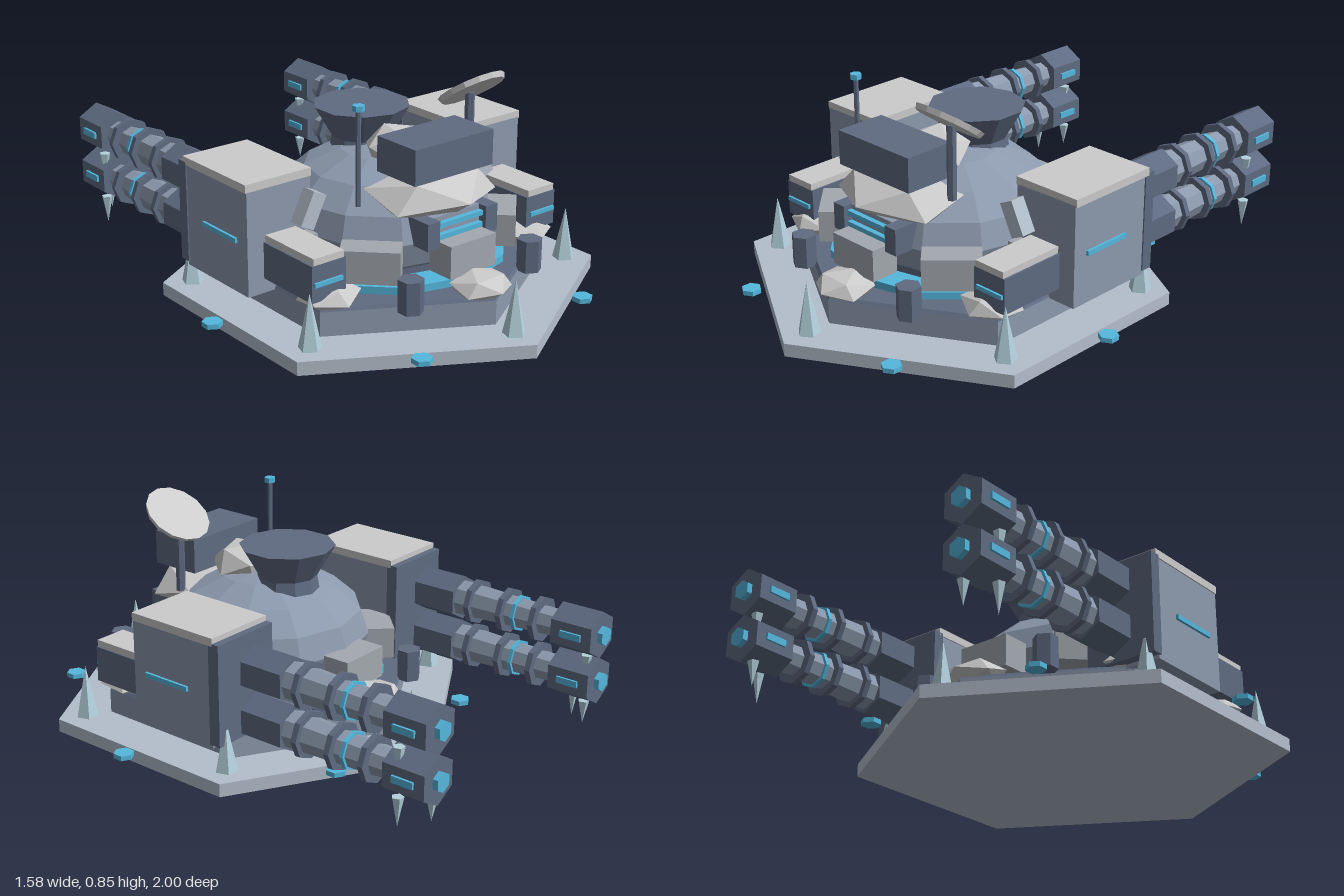
import * as THREE from 'three';

const material = (color) => new THREE.MeshStandardMaterial({ color, flatShading: true });
const DARK = material(0x5f6b82), MID = material(0x8d9aae), LIGHT = material(0xb4bfcd);
const WHITE = material(0xdcdcdc), BLUE = material(0x55b8de), ICE = material(0xb4d2de), GREY = material(0xa3a9b0);

function add(parent, name, geometry, mat, x = 0, y = 0, z = 0) {
  const mesh = new THREE.Mesh(geometry, mat);
  mesh.name = name;
  mesh.position.set(x, y, z);
  parent.add(mesh);
  return mesh;
}
const box = (w, h, d) => new THREE.BoxGeometry(w, h, d);
const prism = (top, bottom, h, sides) => new THREE.CylinderGeometry(top, bottom, h, sides);

// Squashed faceted boulder
function rock(parent, name, rx, ry, rz, x, y, z, turn = 0) {
  const mesh = add(parent, name, new THREE.IcosahedronGeometry(1, 0), WHITE, x, y, z);
  mesh.geometry.rotateX(0.55).rotateY(turn).scale(rx, ry, rz);
  return mesh;
}

// Calls fn(x, z, angle) at evenly spaced points on a circle
function ring(count, radius, offset, fn) {
  for (let i = 0; i < count; i++) {
    const a = offset + (i / count) * Math.PI * 2;
    fn(Math.sin(a) * radius, Math.cos(a) * radius, a);
  }
}

// Hexagonal platform, dome and everything arranged around it
function createBase() {
  const base = new THREE.Group();
  base.name = 'base';
  add(base, 'groundPlate', prism(0.81, 0.81, 0.05, 6), LIGHT, 0, 0.025);
  add(base, 'platform', prism(0.61, 0.61, 0.09, 6), MID, 0, 0.095);
  add(base, 'platformTop', prism(0.6, 0.61, 0.012, 6), DARK, 0, 0.146);
  add(base, 'glowRing', prism(0.465, 0.465, 0.03, 12), BLUE, 0, 0.165);
  add(base, 'domeDrum', prism(0.36, 0.36, 0.14, 12), DARK, 0, 0.23);
  add(base, 'dome', new THREE.SphereGeometry(0.405, 12, 8), MID, 0, 0.31).scale.y = 0.6;

  ring(6, 0.7, 0, (x, z) => add(base, 'cornerSpike', prism(0, 0.042, 0.2, 5), ICE, x, 0.15, z));
  ring(6, 0.76, Math.PI / 6, (x, z) =>
    add(base, 'floatingLight', prism(0.037, 0.037, 0.018, 6), BLUE, x, 0.057, z));
  ring(6, 0.56, Math.PI / 6, (x, z) => add(base, 'post', prism(0.046, 0.046, 0.12, 6), DARK, x, 0.197, z));
  ring(6, 0.53, 0, (x, z, a) => rock(base, 'boulder', 0.12, 0.05, 0.11, x, 0.175, z, a));
  ring(8, 0.435, 0, (x, z, a) => {
    add(base, 'wallBlock', box(0.21, 0.12, 0.11), GREY, x, 0.265, z).rotation.y = a;
  });
  return base;
}

// One hexagonal gun along -z, with its rear end at z = 0
function createGun() {
  const gun = new THREE.Group();
  gun.name = 'gun';
  const tube = (name, front, back, length, z, mat, sides = 6) =>
    add(gun, name, prism(front, back, length, sides).rotateX(-Math.PI / 2), mat, 0, 0, z);
  tube('breech', 0.087, 0.087, 0.175, -0.0875, DARK);
  tube('barrel', 0.053, 0.07, 0.45, -0.39, MID, 8);
  for (const z of [-0.24, -0.38, -0.52]) tube('collar', 0.087, 0.087, 0.022, z, DARK, 8);
  tube('glowCollar', 0.07, 0.07, 0.015, -0.43, BLUE, 8);
  tube('muzzle', 0.09, 0.09, 0.165, -0.687, DARK);
  tube('muzzleGlow', 0.036, 0.036, 0.03, -0.775, BLUE);
  for (const s of [-1, 1]) add(gun, 'muzzleSlit', box(0.02, 0.025, 0.085), BLUE, s * 0.077, 0, -0.687);
  return gun;
}

// Tower, forearm box and twin guns for one side (+1 or -1)
function createWing(s) {
  const wing = new THREE.Group();
  wing.name = s > 0 ? 'leftWing' : 'rightWing';
  add(wing, 'tower', box(0.27, 0.39, 0.37), MID, s * 0.505, 0.33, 0.055);
  add(wing, 'towerCap', box(0.28, 0.03, 0.38), WHITE, s * 0.505, 0.535, 0.05);
  add(wing, 'towerBackPlate', box(0.28, 0.38, 0.045), DARK, s * 0.505, 0.34, -0.145);
  add(wing, 'towerSlit', box(0.012, 0.018, 0.2), BLUE, s * 0.644, 0.33, 0.08);

  add(wing, 'forearm', box(0.145, 0.135, 0.28), DARK, s * 0.5, 0.257, 0.37);
  add(wing, 'forearmCap', box(0.13, 0.025, 0.28), WHITE, s * 0.5, 0.337, 0.37);
  add(wing, 'forearmSlit', box(0.12, 0.016, 0.012), BLUE, s * 0.505, 0.255, 0.513);
  add(wing, 'brace', box(0.06, 0.13, 0.07), LIGHT, s * 0.4, 0.415, 0.265).rotation.z = s * 0.46;

  for (const y of [0.42, 0.24]) {
    const gun = createGun();
    gun.position.set(s * 0.505, y, -0.21);
    wing.add(gun);
    // Icicles hanging below the muzzle
    for (const [x, z, h] of [[0.55, -0.855, 0.11], [0.48, -0.94, 0.09]])
      add(wing, 'icicle', prism(0.022, 0, h, 5), ICE, s * x, y - 0.08 - h / 2, z);
  }
  return wing;
}

// Command post on top: boulders, cabin, funnel, dish and antenna
function createTop() {
  const top = new THREE.Group();
  top.name = 'commandPost';
  rock(top, 'largeBoulder', 0.27, 0.092, 0.21, 0, 0.45, 0.45);
  rock(top, 'upperBoulder', 0.135, 0.09, 0.13, 0, 0.555, 0.28, 0.4);
  add(top, 'cabin', box(0.36, 0.13, 0.2), DARK, 0, 0.597, 0.475);
  add(top, 'funnel', prism(0.18, 0.11, 0.12, 10), DARK, 0, 0.61, 0.07);
  add(top, 'funnelNeck', prism(0.11, 0.12, 0.06, 10), DARK, 0, 0.53, 0.07);

  add(top, 'visor', box(0.22, 0.1, 0.1), MID, 0, 0.355, 0.54);
  for (const y of [0.335, 0.378]) add(top, 'visorLight', box(0.22, 0.018, 0.02), BLUE, 0, y, 0.6);
  for (const s of [-1, 1]) add(top, 'visorPillar', box(0.055, 0.1, 0.13), DARK, s * 0.135, 0.355, 0.56);

  add(top, 'dishMast', prism(0.018, 0.018, 0.28, 6), DARK, 0.22, 0.61, 0.41);
  add(top, 'dish', prism(0.128, 0.12, 0.02, 14), WHITE, 0.22, 0.765, 0.42).rotation.x = -0.63;
  add(top, 'antenna', prism(0.01, 0.01, 0.35, 6), DARK, -0.285, 0.61, 0.4);
  add(top, 'antennaLight', prism(0.022, 0.022, 0.02, 6), BLUE, -0.285, 0.79, 0.4);
  return top;
}

export function createModel() {
  const model = new THREE.Group();
  model.name = 'turretFortress';
  const base = createBase();
  base.position.z = 0.19;
  model.add(base, createWing(1), createWing(-1), createTop());
  return model;
}
